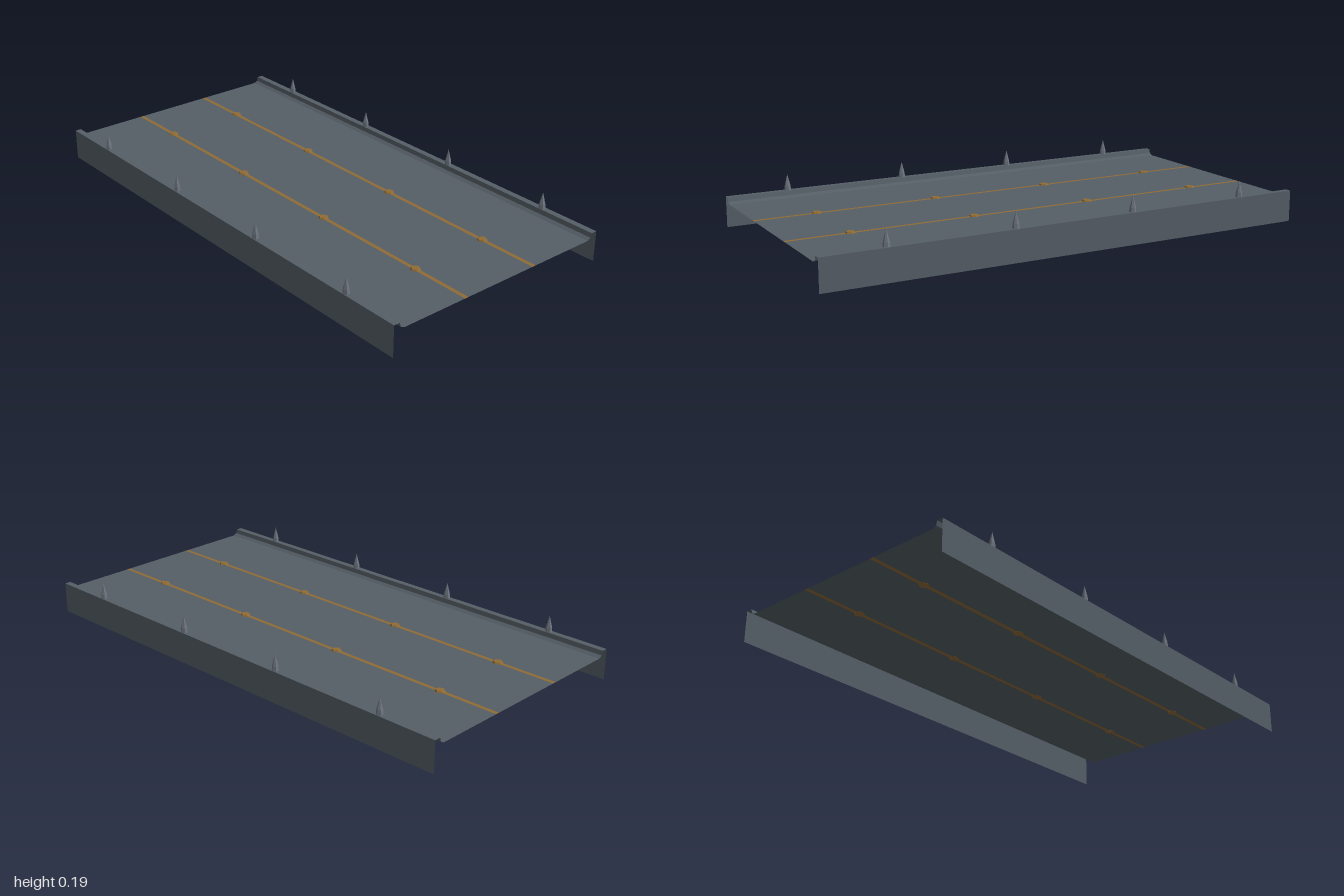
import * as THREE from 'three';

export function createModel() {
  const model = new THREE.Group();
  const mat = (name, color, side = THREE.FrontSide) => {
    const m = new THREE.MeshStandardMaterial({ color, side, flatShading: true });
    m.name = name;
    return m;
  };
  const steel = mat('slate steel', 0x555e66, THREE.DoubleSide);
  const brass = mat('brass', 0x8f6c36, THREE.DoubleSide);
  const spikeSteel = mat('spike steel', 0x6f7680);

  const add = (name, geometry, material, x = 0, y = 0, z = 0) => {
    const mesh = new THREE.Mesh(geometry, material);
    mesh.name = name;
    mesh.position.set(x, y, z);
    model.add(mesh);
  };

  // Open sheet swept along z from a cross-section listed from right (-x) to left (+x)
  const sheet = (points) => {
    const pos = [];
    for (let i = 0; i < points.length - 1; i++) {
      const [ax, ay] = points[i], [bx, by] = points[i + 1];
      pos.push(ax, ay, 1, bx, by, 1, bx, by, -1);
      pos.push(ax, ay, 1, bx, by, -1, ax, ay, -1);
    }
    const g = new THREE.BufferGeometry();
    g.setAttribute('position', new THREE.Float32BufferAttribute(pos, 3));
    g.computeVertexNormals();
    return g;
  };

  const deckY = 0.1, curbY = 0.125, stripX = 0.167, stripHalf = 0.008;

  // Deck panels between the flush strips
  const inner = stripX - stripHalf, outer = stripX + stripHalf, edge = 0.455;
  add('deckCentre', sheet([[-inner, deckY], [inner, deckY]]), steel);

  // Side skirt with a raised curb stepping down to the deck
  const curb = [[edge, deckY], [0.47, 0.108], [0.475, curbY], [0.5, curbY], [0.5, 0]];

  // Pointed post: short straight foot and a tapering tip
  const spike = new THREE.LatheGeometry(
    [[0, 0], [0.0135, 0], [0.012, 0.018], [0, 0.065]].map(([r, y]) => new THREE.Vector2(r, y)), 6);
  spike.rotateY(Math.PI / 2);

  // Low hexagonal stud with a bevelled top
  const stud = new THREE.CylinderGeometry(0.017, 0.021, 0.006, 6);
  stud.rotateY(Math.PI / 2);

  for (const s of [-1, 1]) {
    const side = s > 0 ? 'left' : 'right';
    const mirror = (pts) => (s > 0 ? pts : pts.map(([x, y]) => [-x, y]).reverse());
    add(side + 'DeckPanel', sheet(mirror([[outer, deckY], [edge, deckY]])), steel);
    add(side + 'CurbAndSkirt', sheet(mirror(curb)), steel);
    add(side + 'Strip', sheet(mirror([[inner, deckY], [outer, deckY]])), brass);
    for (const z of [-0.75, -0.25, 0.25, 0.75]) {
      add(side + 'Stud', stud, brass, s * stripX, deckY + 0.0025, z);
      add(side + 'Spike', spike, spikeSteel, s * 0.4868, curbY, z);
    }
  }
  return model;
}
